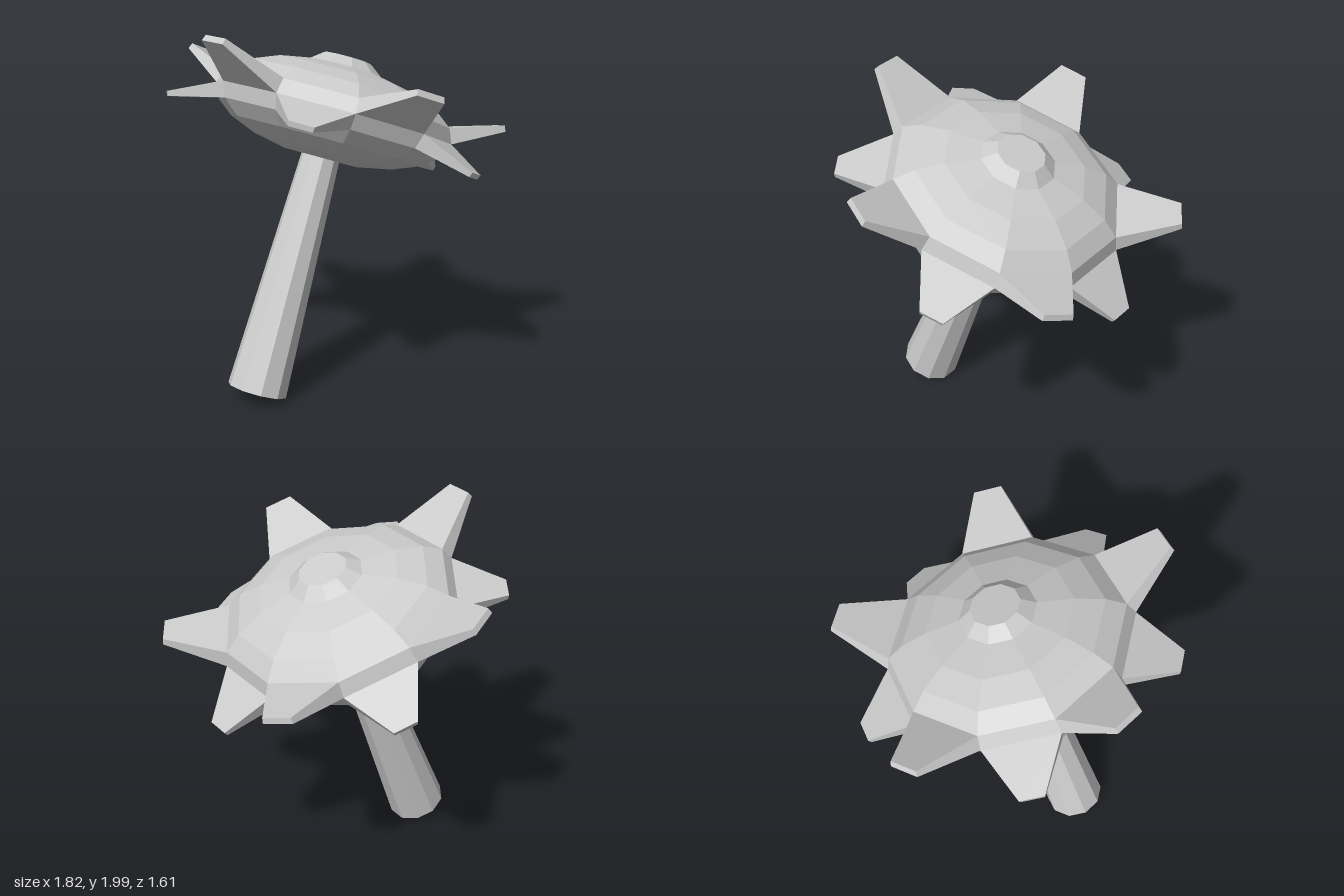
import * as THREE from 'three';

const SIDES = 10;
const STEP = Math.PI / SIDES;            // half of one side's angle
const HEAD_Y = 1.54;                     // middle of the head along the handle
const R = 0.656, H = 0.26;               // head corner radius and half height

export function createModel() {
  const group = new THREE.Group();
  const mat = new THREE.MeshStandardMaterial({ color: 0xcccccc, flatShading: true });

  const add = (name, geo) => {
    const mesh = new THREE.Mesh(geo, mat);
    mesh.name = name;
    group.add(mesh);
    return mesh;
  };
  const lathe = (pts) =>
    new THREE.LatheGeometry(pts.map(([r, y]) => new THREE.Vector2(r, y)), SIDES, STEP);

  // Tapered handle
  add('handle', lathe([[0, 0], [0.162, 0], [0.105, 1.293]]));

  // Flattened ball with a flat underside and a small raised cap
  const head = [[0, HEAD_Y - H * Math.sin(4 * STEP)]];
  for (let i = -4; i <= 4; i++) {
    head.push([R * Math.cos(i * STEP), HEAD_Y + H * Math.sin(i * STEP)]);
  }
  head.push([0.131, 1.841], [0, 1.841]);
  add('head', lathe(head));

  // Spike grown from one rim face: s = 1 leans up, s = -1 leans down
  const spike = (s) => {
    const tip = s > 0 ? { r: 0.924, y: 0.165, k: 0.39 } : { r: 0.87, y: 0.135, k: 0.32 };
    const inR = R * Math.cos(STEP);                 // rim face at the equator
    const outR = inR * Math.cos(STEP);              // rim face at the next ring
    const rise = H * Math.sin(STEP);
    const midR = (inR + outR) / 2, midY = rise / 2;
    const geo = new THREE.BoxGeometry(2, 2, 2);
    const p = geo.attributes.position;
    for (let i = 0; i < p.count; i++) {
      const far = p.getY(i) * s > 0;                // edge away from the equator
      let r = far ? outR : inR;
      let y = far ? rise : 0;
      let x = p.getX(i) * r * Math.tan(STEP);
      if (p.getZ(i) > 0) {
        x *= tip.k;
        r = tip.r + (r - midR) * tip.k;
        y = tip.y + (y - midY) * tip.k;
      }
      p.setXYZ(i, x, HEAD_Y + s * y, r);
    }
    geo.computeVertexNormals();
    return geo;
  };
  const up = spike(1), down = spike(-1);
  for (let i = 0; i < SIDES; i++) {
    add('spike' + (i + 1), i % 2 ? down : up).rotation.y = i * 2 * STEP;
  }

  // Lean the whole thing backwards
  group.rotation.x = -0.375;
  group.position.set(0, 0.062, 0.56);

  const root = new THREE.Group();
  root.name = 'spikedMallet';
  root.add(group);
  return root;
}
